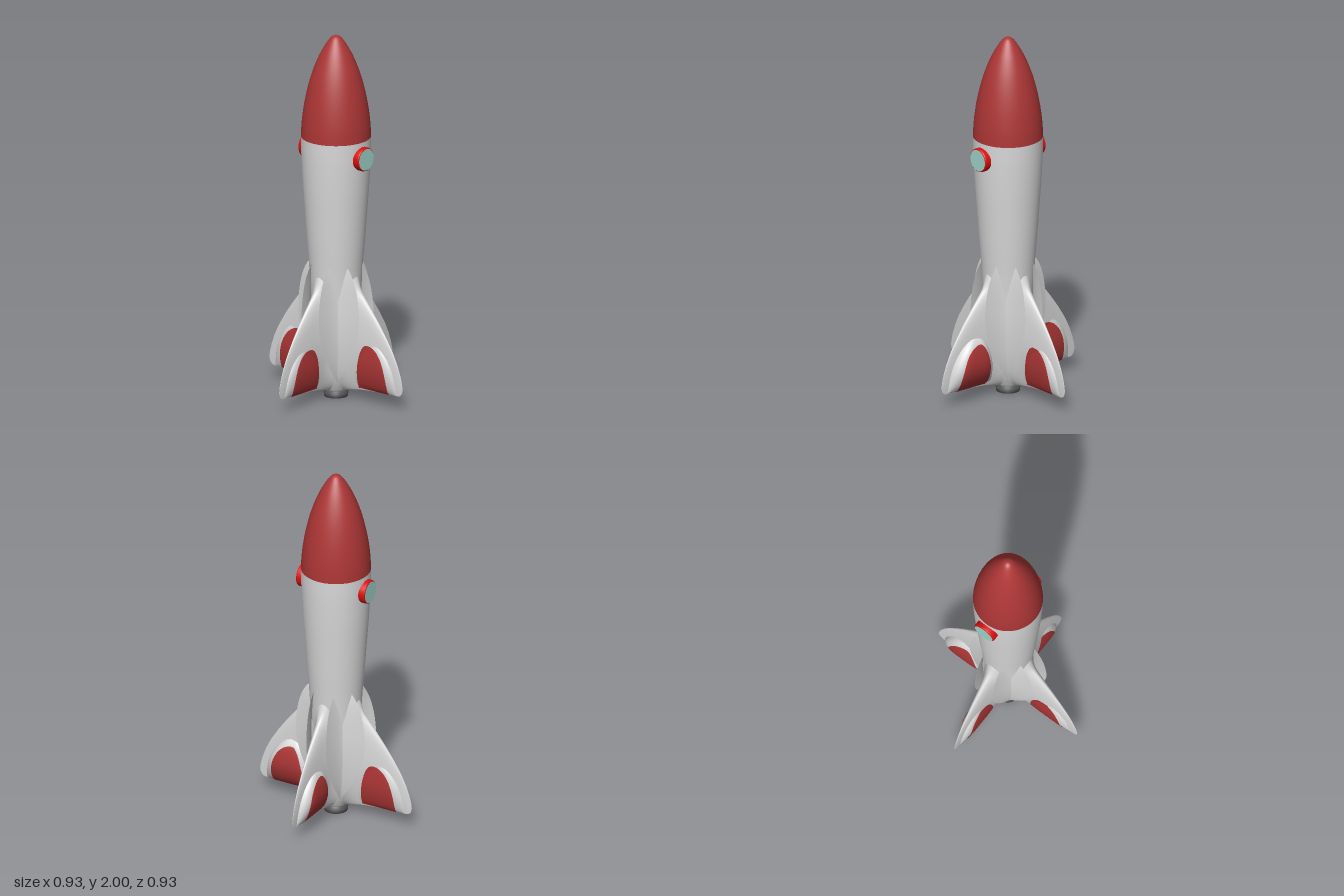
import * as THREE from 'three';

const mat = (name, color, side = THREE.FrontSide) => {
  const m = new THREE.MeshStandardMaterial({ color, side });
  m.name = name;
  return m;
};

// Piecewise-linear lookup in a short list of [x, value] points
function lookup(pts, x) {
  for (let i = 1; i < pts.length; i++) {
    const [x0, a] = pts[i - 1], [x1, b] = pts[i];
    if (x <= x1) return a + (b - a) * Math.max(0, (x - x0) / (x1 - x0));
  }
  return pts[pts.length - 1][1];
}

// Smooth grid surface from fn(u, v) -> [x, y, z]; side mirrors it in z
function sheet(fn, nu, nv, side) {
  const pos = [], idx = [];
  const ease = (t) => (1 - Math.cos(Math.PI * t)) / 2;
  for (let j = 0; j <= nv; j++) {
    for (let i = 0; i <= nu; i++) {
      const [x, y, z] = fn(ease(i / nu), ease(j / nv));
      pos.push(x, y, z * side);
      if (i === nu || j === nv) continue;
      const a = j * (nu + 1) + i, b = a + 1, c = a + nu + 1, d = c + 1;
      if (side > 0) idx.push(a, b, d, a, d, c);
      else idx.push(a, d, b, a, c, d);
    }
  }
  const g = new THREE.BufferGeometry();
  g.setAttribute('position', new THREE.Float32BufferAttribute(pos, 3));
  g.setIndex(idx);
  g.computeVertexNormals();
  return g;
}

// Fin outline and half thickness
const FIN_TOP = [[0.06, 0.8], [0.12, 0.73], [0.14, 0.685], [0.155, 0.64], [0.175, 0.607], [0.2, 0.578],
  [0.25, 0.518], [0.3, 0.455], [0.35, 0.386], [0.4, 0.307], [0.43, 0.245], [0.45, 0.19], [0.46, 0.15], [0.464, 0.12]];
const FIN_BOTTOM = [[0.06, 0.04], [0.1, 0.052], [0.15, 0.062], [0.2, 0.068], [0.3, 0.076], [0.43, 0.079],
  [0.445, 0.083], [0.455, 0.092], [0.461, 0.105], [0.464, 0.12]];
const finDepth = (x, v) => {
  const t = 0.036 * (0.47 - x) / 0.28 + 0.06 * Math.exp(-(x - 0.09) / 0.03);
  const low = Math.sin(Math.PI / 2 * Math.min(1, v / 0.6)) ** 0.8;
  return t * low * Math.sqrt(Math.max(0, 1 - v ** 6));
};
const finPoint = (u, v) => {
  const x = 0.06 + 0.404 * u;
  const b = lookup(FIN_BOTTOM, x), t = lookup(FIN_TOP, x);
  return [x, b + (t - b) * v, finDepth(x, v)];
};
const finZ = (x, y) => {
  const b = lookup(FIN_BOTTOM, x), t = lookup(FIN_TOP, x);
  return finDepth(x, Math.min(1, Math.max(0, (y - b) / (t - b))));
};

// Raised arch-shaped pad on a fin face
const PAD_Y = 0.079;
const padEdges = (w) => {
  const k = Math.max(0, 1 - w * w);
  return [0.24 - 0.12 * Math.sqrt(k), 0.24 + 0.18 * k ** 0.6];
};
const padDepth = (s, w, depth) => depth
  * Math.sqrt(Math.max(0, 1 - Math.abs(2 * s - 1) ** 4))
  * Math.sin(Math.PI / 2 * Math.min(1, w / 0.55)) ** 0.6
  * Math.sqrt(Math.max(0, 1 - w ** 4));
const padPoint = (height, depth) => (u, v) => {
  const [l, r] = padEdges(v);
  return [l + (r - l) * u, PAD_Y + height * v, padDepth(u, v, depth)];
};

// Painted panel lying just above the pad and fin surfaces
const panelPoint = (height, depth) => (u, v) => {
  const l = 0.24 - 0.075 * Math.sqrt(Math.max(0, 1 - v * v));
  const r = 0.24 + 0.13 * Math.sqrt(Math.max(0, 1 - v ** 2.5));
  const x = l + (r - l) * u;
  const y = PAD_Y - 0.003 + (height - 0.037) * v;
  const w = Math.min(1, Math.max(0, (y - PAD_Y) / height));
  const [pl, pr] = padEdges(w);
  const s = Math.min(1, Math.max(0, (x - pl) / (pr - pl)));
  return [x, y, Math.max(padDepth(s, w, depth), finZ(x, y)) + 0.0025];
};

export function createModel() {
  const white = mat('hull white', 0xd9d9d9, THREE.DoubleSide);
  const red = mat('paint red', 0xad3636, THREE.DoubleSide);
  const ringRed = mat('bright red', 0xdd0f0f);
  const glass = mat('window glass', 0xa0d5cb);
  const metal = mat('nozzle grey', 0x555555, THREE.DoubleSide);
  const flame = mat('nozzle orange', 0xd08a10, THREE.DoubleSide);

  const model = new THREE.Group();
  model.name = 'rocket';
  const add = (parent, name, geometry, material) => {
    const m = new THREE.Mesh(geometry, material);
    m.name = name;
    parent.add(m);
    return m;
  };
  const lathe = (pts, smooth) => {
    let p = pts.map(([r, y]) => new THREE.Vector2(r, y));
    if (smooth) p = new THREE.SplineCurve(p).getPoints(smooth);
    p.forEach((q) => { q.x = Math.max(0, q.x); });
    return new THREE.LatheGeometry(p, 64);
  };

  // Hull and nose
  add(model, 'hull', lathe([[0.05, 0.033], [0.062, 0.05], [0.09, 0.12], [0.112, 0.25], [0.124, 0.4], [0.132, 0.55],
    [0.141, 0.7], [0.153, 0.85], [0.164, 1.0], [0.176, 1.17], [0.184, 1.33], [0.186, 1.44]], 48), white);
  add(model, 'noseCone', lathe([[0.186, 1.44], [0.182, 1.52], [0.169, 1.62], [0.148, 1.72], [0.121, 1.81],
    [0.088, 1.89], [0.055, 1.95], [0.03, 1.985], [0.013, 1.997], [0, 2]], 40), red);

  // Exhaust nozzle
  add(model, 'nozzle', lathe([[0.047, 0.022], [0.054, 0], [0.063, 0], [0.066, 0.022], [0.052, 0.036]]), metal);
  add(model, 'nozzleInside', lathe([[0, 0.024], [0.03, 0.022], [0.0535, 0.002]]), flame);

  // Portholes front and back
  for (const side of [1, -1]) {
    const porthole = new THREE.Group();
    porthole.name = side > 0 ? 'frontPorthole' : 'backPorthole';
    const ring = lathe([[0.063, 0.14], [0.065, 0.15], [0.065, 0.202], [0.063, 0.208], [0.059, 0.21], [0, 0.21]]);
    add(porthole, 'portholeRing', ring.rotateX(Math.PI / 2), ringRed);
    const pane = add(porthole, 'portholeGlass', new THREE.CircleGeometry(0.059, 48), glass);
    pane.position.z = 0.2115;
    porthole.position.y = 1.35;
    porthole.rotation.y = side > 0 ? 0 : Math.PI;
    model.add(porthole);
  }

  // Four fins: turn about y, pad height, pad depth on each face
  const fins = [
    ['leftFin', 0, 0.275, 0.034, 0.06],
    ['backFin', Math.PI / 2, 0.29, 0.037, 0.037],
    ['rightFin', Math.PI, 0.275, 0.033, 0.033],
    ['frontFin', -Math.PI / 2, 0.29, 0.037, 0.074],
  ];
  for (const [name, turn, height, depthA, depthB] of fins) {
    const fin = new THREE.Group();
    fin.name = name;
    for (const [side, depth] of [[1, depthA], [-1, depthB]]) {
      add(fin, 'finFace', sheet(finPoint, 48, 40, side), white);
      add(fin, 'finPad', sheet(padPoint(height, depth), 28, 28, side), white);
      add(fin, 'finPanel', sheet(panelPoint(height, depth), 24, 24, side), red);
    }
    fin.rotation.y = turn;
    model.add(fin);
  }
  return model;
}
